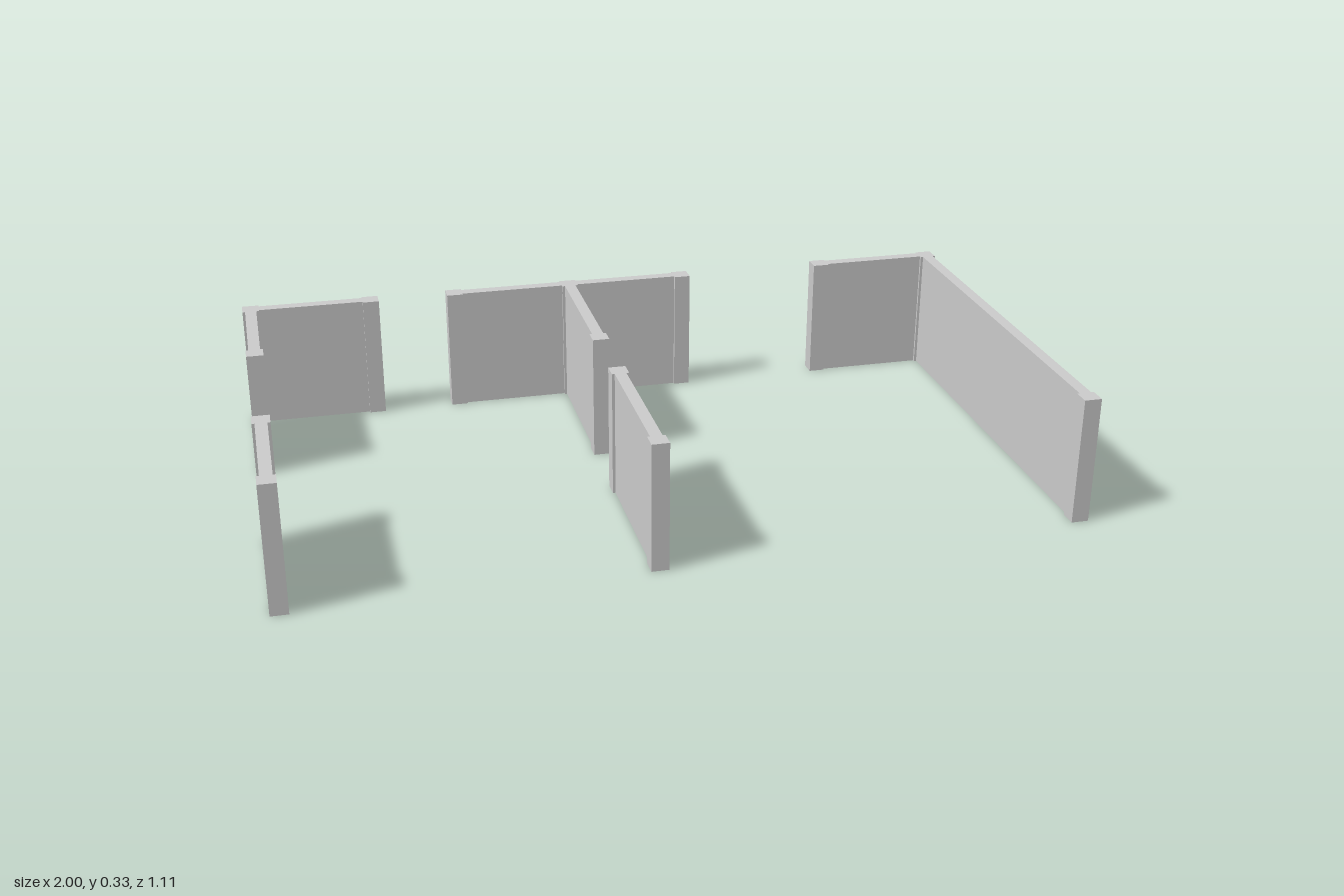
import * as THREE from 'three';

const HEIGHT = 0.331, POST = 0.044, WALL = 0.03;
const LEFT = 0.978, MID = -0.095, BACK = -0.535, FRONT = 0.535;

export function createModel() {
  const model = new THREE.Group();
  const material = new THREE.MeshStandardMaterial({ color: 0xcccccc, flatShading: true });

  function box(name, x, z, width, depth) {
    const mesh = new THREE.Mesh(new THREE.BoxGeometry(width, HEIGHT, depth), material);
    mesh.position.set(x, HEIGHT / 2, z);
    mesh.name = name;
    return mesh;
  }

  // A wall section: square posts joined by thinner panels, given as pairs of post indices
  function section(name, posts, panels) {
    const group = new THREE.Group();
    group.name = name;
    for (const [x, z] of posts) group.add(box('post', x, z, POST, POST));
    for (const [a, b] of panels) {
      const [x1, z1] = posts[a], [x2, z2] = posts[b];
      const dx = Math.abs(x2 - x1), dz = Math.abs(z2 - z1);
      const alongX = dx > dz;
      group.add(box('wallPanel', (x1 + x2) / 2, (z1 + z2) / 2,
        alongX ? dx - POST : WALL, alongX ? WALL : dz - POST));
    }
    model.add(group);
  }

  // Corner at the back right, with a doorway gap before the front piece
  section('backRightCorner', [[-LEFT, BACK], [-0.654, BACK], [-LEFT, -0.212]], [[0, 1], [0, 2]]);
  section('frontRightWall', [[-LEFT, 0.209], [-LEFT, FRONT]], [[0, 1]]);

  // T-shaped partition in the middle and its front continuation
  section('middlePartition',
    [[MID, BACK], [-0.421, BACK], [0.231, BACK], [MID, -0.118]], [[0, 1], [0, 2], [0, 3]]);
  section('frontPartition', [[MID, 0.114], [MID, FRONT]], [[0, 1]]);

  // Long side wall with a short return at the back
  section('leftWall', [[LEFT, BACK], [0.648, BACK], [LEFT, FRONT]], [[0, 1], [0, 2]]);

  return model;
}
